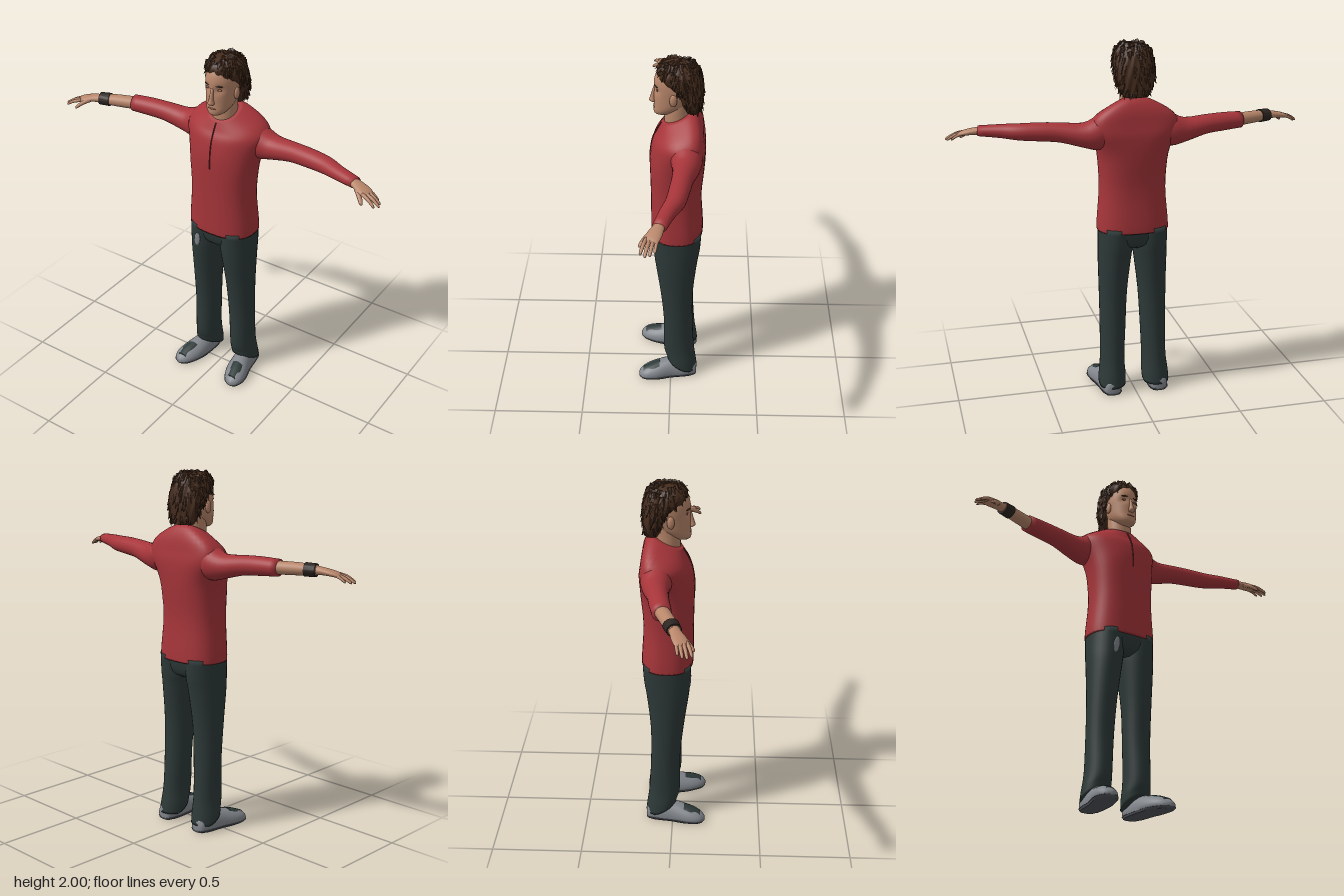
import * as THREE from 'three';
import { mergeGeometries, toCreasedNormals } from 'three/addons/utils/BufferGeometryUtils.js';

const mat = (name, color) => {
  const m = new THREE.MeshStandardMaterial({ color });
  m.name = name;
  return m;
};

// Catmull-Rom resampling of cross-sections [x, y, z, a, b]
function resample(s, steps) {
  const out = [];
  for (let i = 0; i < s.length - 1; i++) {
    const p = [s[Math.max(i - 1, 0)], s[i], s[i + 1], s[Math.min(i + 2, s.length - 1)]];
    for (let k = 0; k < steps; k++) {
      const t = k / steps;
      out.push(s[i].map((_, c) => {
        const [p0, p1, p2, p3] = p.map((q) => q[c]);
        return p1 + 0.5 * t * (p2 - p0 + t * (2 * p0 - 5 * p1 + 4 * p2 - p3 + t * (3 * (p1 - p2) + p3 - p0)));
      }));
    }
  }
  out.push(s[s.length - 1]);
  return out;
}

// Closed skin over oval sections stacked along an axis; warp moves each vertex
function loft(sections, axis, { sides = 28, steps = 3, power = 2, warp, crease } = {}) {
  const s = resample(sections, steps), pos = [], idx = [];
  const bend = (v) => Math.sign(v) * Math.abs(v) ** (2 / power);
  const put = (x, y, z) => {
    const v = new THREE.Vector3(x, y, z);
    if (warp) warp(v);
    pos.push(v.x, v.y, v.z);
  };
  s.forEach(([x, y, z, a, b], i) => {
    const p = s[Math.max(i - 1, 0)], n = s[Math.min(i + 1, s.length - 1)];
    const slope = (n[2] - p[2]) / (n[0] - p[0] || 1), len = Math.hypot(1, slope);
    for (let j = 0; j < sides; j++) {
      const t = (j / sides) * Math.PI * 2, u = a * bend(Math.cos(t)), w = b * bend(Math.sin(t));
      if (axis === 'y') put(x + u, y, z + w);
      else if (axis === 'z') put(x + u, y + w, z);
      else put(x - (w * slope) / len, y + u, z + w / len);
    }
  });
  const last = s.length - 1, c0 = s.length * sides;
  put(...s[0].slice(0, 3));
  put(...s[last].slice(0, 3));
  for (let j = 0; j < sides; j++) {
    const k = (j + 1) % sides;
    for (let i = 0; i < last; i++) {
      const a = i * sides + j, b = i * sides + k;
      idx.push(a, a + sides, b, b, a + sides, b + sides);
    }
    idx.push(c0, j, k, c0 + 1, last * sides + k, last * sides + j);
  }
  // Turn the skin outward if its volume comes out negative
  const at = (i) => new THREE.Vector3().fromArray(pos, i * 3);
  let vol = 0;
  for (let i = 0; i < idx.length; i += 3) vol += at(idx[i]).dot(at(idx[i + 1]).cross(at(idx[i + 2])));
  if (vol < 0) idx.reverse();
  const g = new THREE.BufferGeometry();
  g.setAttribute('position', new THREE.Float32BufferAttribute(pos, 3));
  g.setIndex(idx);
  g.computeVertexNormals();
  return crease ? toCreasedNormals(g, crease) : g;
}

const flip = (sections, side) => sections.map(([x, ...r]) => [x * side, ...r]);
const gauss = (d, w) => Math.exp(-(d * d) / (w * w));

export function createModel() {
  const root = new THREE.Group();
  const M = {
    shirt: mat('shirt red', 0xa6353a), seam: mat('seam dark red', 0x6e2226),
    trousers: mat('trouser charcoal', 0x2d3938), grey: mat('shoe grey', 0x82868c),
    sole: mat('sole grey', 0x50545b), skin: mat('skin', 0xb8866a),
    lip: mat('lip', 0x96634f), hair: mat('hair brown', 0x452c1d), band: mat('wristband', 0x2c2521),
  };
  const add = (name, geometry, material, parent = root) => {
    const m = new THREE.Mesh(geometry, material);
    m.name = name;
    parent.add(m);
    return m;
  };
  const blob = (name, material, p, r) => {
    const m = add(name, new THREE.SphereGeometry(1, 16, 10), material);
    m.position.set(...p);
    m.scale.set(...r);
    return m;
  };

  // Shirt body with shoulders swept back and a collar tilted forward
  add('shirtBody', loft([
    [0, 0.968, -0.033, 0.198, 0.143], [0, 1.02, -0.032, 0.196, 0.143], [0, 1.2, -0.027, 0.182, 0.138],
    [0, 1.36, -0.032, 0.19, 0.146], [0, 1.45, -0.035, 0.207, 0.148], [0, 1.52, -0.04, 0.232, 0.142],
    [0, 1.57, -0.043, 0.238, 0.13], [0, 1.61, -0.045, 0.205, 0.118], [0, 1.65, -0.04, 0.132, 0.1],
    [0, 1.678, -0.032, 0.078, 0.079]], 'y', {
    sides: 40, power: 2.45,
    warp: (v) => {
      v.z -= THREE.MathUtils.smoothstep(v.y, 1.35, 1.52) * 0.7 * v.x * v.x;
      v.y -= THREE.MathUtils.smoothstep(v.y, 1.54, 1.678) * (v.z + 0.03) * 0.45;
    },
  }), M.shirt);
  const placket = new THREE.CatmullRomCurve3([[1.385, 0.114], [1.46, 0.112], [1.54, 0.098], [1.59, 0.077], [1.635, 0.052]]
    .map(([y, z]) => new THREE.Vector3(0, y, z)));
  add('placketSeam', new THREE.TubeGeometry(placket, 16, 0.004, 6), M.seam);

  // Trousers: seat and two legs with the hems lifted over the shoes
  add('trouserSeat', loft([[0, 0.865, -0.03, 0.08, 0.075], [0, 0.9, -0.033, 0.165, 0.118],
    [0, 0.99, -0.033, 0.188, 0.134]], 'y', { power: 2.4 }), M.trousers);
  const leg = [[0.128, 0.04, -0.068, 0.077, 0.087], [0.125, 0.1, -0.06, 0.076, 0.088], [0.122, 0.2, -0.047, 0.069, 0.088],
    [0.117, 0.4, -0.042, 0.073, 0.083], [0.112, 0.6, -0.033, 0.079, 0.093], [0.102, 0.8, -0.03, 0.092, 0.118],
    [0.097, 0.88, -0.033, 0.097, 0.128], [0.096, 0.99, -0.034, 0.097, 0.134]];
  const hem = (v) => { v.y += gauss(v.y - 0.04, 0.08) * Math.max(0, v.z + 0.1) * 0.5; };
  const shoe = [[0.135, 0.03, -0.152, 0.025, 0.03], [0.135, 0.03, -0.138, 0.045, 0.055], [0.138, 0.03, -0.08, 0.056, 0.075],
    [0.145, 0.03, 0, 0.061, 0.075], [0.162, 0.028, 0.08, 0.067, 0.058], [0.174, 0.025, 0.135, 0.058, 0.044],
    [0.18, 0.02, 0.17, 0.038, 0.028], [0.181, 0.018, 0.186, 0.012, 0.012]];
  const toePatch = [[0.16, 0.03, 0.065, 0.054, 0.065], [0.17, 0.028, 0.11, 0.055, 0.053], [0.178, 0.024, 0.16, 0.037, 0.036]];

  // Arms: sections from shoulder to wrist, shared by both sides
  const arm = [[0.12, 1.535, -0.075, 0.075, 0.075], [0.2, 1.522, -0.083, 0.09, 0.083], [0.28, 1.515, -0.08, 0.066, 0.07],
    [0.4, 1.533, -0.065, 0.053, 0.056], [0.5, 1.539, -0.052, 0.05, 0.053], [0.61, 1.541, -0.034, 0.045, 0.05]];
  const lowerSleeve = [[0.7, 1.543, 0, 0.037, 0.042], [0.82, 1.543, 0.037, 0.028, 0.036]];
  const forearm = [[0.57, 1.541, -0.044, 0.035, 0.038], [0.7, 1.543, 0, 0.033, 0.037], [0.8, 1.543, 0.034, 0.026, 0.032]];
  const palm = [[0.79, 1.543, 0.032, 0.024, 0.029], [0.83, 1.541, 0.043, 0.02, 0.031], [0.87, 1.535, 0.058, 0.017, 0.038],
    [0.905, 1.527, 0.071, 0.013, 0.037], [0.92, 1.522, 0.076, 0.007, 0.03]];
  const digits = [ // base, tip, radius
    [[0.895, 1.529, 0.042], [0.962, 1.498, 0.054], 0.0085], [[0.9, 1.529, 0.06], [0.983, 1.494, 0.077], 0.0095],
    [[0.9, 1.529, 0.079], [0.99, 1.493, 0.1], 0.0095], [[0.892, 1.529, 0.096], [0.972, 1.495, 0.122], 0.0095],
    [[0.842, 1.536, 0.068], [0.908, 1.493, 0.13], 0.0125]];

  for (const side of [1, -1]) {
    const word = side > 0 ? 'left' : 'right';
    add(word + 'TrouserLeg', loft(flip(leg, side), 'y', { warp: hem }), M.trousers);
    const foot = new THREE.Group();
    foot.name = word + 'Shoe';
    root.add(foot);
    const part = (name, s, m, warp) => add(name, loft(flip(s, side), 'z', { warp, crease: 0.8 }), m, foot);
    part('shoeUpper', shoe, M.grey, (v) => { v.y = Math.max(v.y, 0.01); });
    part('shoeSole', shoe.map(([x, y, z, a, b]) => [x, y, z, a + 0.003, b]), M.sole, (v) => { v.y = THREE.MathUtils.clamp(v.y, 0, 0.012); });
    part('toePatch', toePatch, M.trousers, (v) => { v.y = Math.max(v.y, 0.04); });

    add(word + 'Sleeve', loft(flip(side > 0 ? [...arm, ...lowerSleeve] : arm, side), 'x'), M.shirt);
    if (side < 0) add('rightForearm', loft(flip(forearm, side), 'x'), M.skin);
    const hand = new THREE.Group();
    hand.name = word + 'Hand';
    root.add(hand);
    add('palm', loft(flip(palm, side), 'x', { sides: 20 }), M.skin, hand);
    digits.forEach(([b, t, r], i) => {
      const s = [[0, 0, 1], [0.5, 0.006, 1], [0.9, 0.001, 0.8], [1, 0, 0.3]].map(([k, lift, f]) =>
        [...b.map((v, c) => v + (t[c] - v) * k + (c === 1 ? lift : 0)), r * f, r * f]);
      add(i < 4 ? 'finger' : 'thumb', loft(flip(s, side), 'x', { sides: 10 }), M.skin, hand);
    });

    // Paired face details
    blob(word + 'Ear', M.skin, [side * 0.088, 1.805, -0.012], [0.012, 0.034, 0.02]);
    blob(word + 'Eye', M.lip, [side * 0.035, 1.84, 0.071], [0.016, 0.006, 0.005]);
    blob(word + 'Eyebrow', M.hair, [side * 0.036, 1.862, 0.077], [0.021, 0.004, 0.005]).rotation.y = side * 0.35;
  }
  add('wristband', loft(flip([[0.742, 1.543, 0.015, 0.036, 0.041], [0.798, 1.543, 0.033, 0.034, 0.038]], -1), 'x',
    { steps: 1, crease: 0.8 }), M.band);
  const patch = blob('trouserPatch', M.grey, [-0.1, 0.888, 0.0945], [0.018, 0.046, 0.005]);
  patch.rotation.set(0.07, 0, -0.15);

  // Neck, head with eye sockets, nose and mouth
  add('neck', loft([[0, 1.6, -0.035, 0.072, 0.072], [0, 1.7, -0.032, 0.068, 0.068], [0, 1.79, -0.045, 0.066, 0.066]], 'y'), M.skin);
  add('head', loft([[0, 1.69, 0.05, 0.025, 0.028], [0, 1.7, 0.043, 0.043, 0.047], [0, 1.72, 0.025, 0.06, 0.068],
    [0, 1.75, 0, 0.074, 0.09], [0, 1.8, -0.02, 0.083, 0.11], [0, 1.85, -0.025, 0.088, 0.116],
    [0, 1.9, -0.03, 0.086, 0.115], [0, 1.94, -0.03, 0.07, 0.095], [0, 1.97, -0.03, 0.04, 0.05]], 'y', {
    sides: 48, steps: 4, warp: (v) => {
      if (v.z > 0) v.z -= 0.013 * gauss(v.y - 1.838, 0.02) * gauss(Math.abs(v.x) - 0.035, 0.025);
    },
  }), M.skin);
  add('nose', loft([[0, 1.756, 0.09, 0.012, 0.009], [0, 1.766, 0.096, 0.018, 0.019], [0, 1.79, 0.093, 0.012, 0.015],
    [0, 1.845, 0.084, 0.008, 0.008]], 'y', { sides: 14 }), M.skin);
  blob('mouth', M.lip, [0, 1.734, 0.088], [0.025, 0.005, 0.006]);

  // Hair: ridged cap whose front edge climbs to the forehead, covered in small locks
  const cap = [[0, 1.715, -0.115, 0.065, 0.04], [0, 1.75, -0.107, 0.086, 0.054], [0, 1.8, -0.098, 0.102, 0.067],
    [0, 1.85, -0.08, 0.108, 0.084], [0, 1.9, -0.048, 0.108, 0.108], [0, 1.94, -0.035, 0.097, 0.108],
    [0, 1.97, -0.034, 0.07, 0.085], [0, 1.987, -0.032, 0.03, 0.04]];
  const ridge = (v) => {
    const k = 1 + 0.025 * Math.sin(Math.atan2(v.z + 0.06, v.x) * 18 + v.y * 40);
    v.x *= k;
    v.z = (v.z + 0.06) * k - 0.06;
  };
  const locks = [loft(cap, 'y', { sides: 72, power: 2.2, warp: ridge }).toNonIndexed()];
  let seed = 7;
  const rand = () => (seed = (seed * 16807) % 2147483647) / 2147483647;
  const rings = resample(cap, 8), up = new THREE.Vector3(0, 1, 0);
  for (let i = 0; i < 260; i++) {
    const [, y, z, a, b] = rings[Math.floor(4 + rand() * (rings.length - 5))], t = rand() * Math.PI * 2;
    const out = new THREE.Vector3(Math.cos(t), 0, Math.sin(t));
    const p = new THREE.Vector3(a * out.x, y, z + b * out.z);
    if (p.z > -0.04 + (y - 1.8) * 0.8) continue;
    const dir = out.multiplyScalar(y > 1.94 ? 0.9 : 0.25 + 0.2 * rand()).add(new THREE.Vector3(rand() * 0.3 - 0.15, y > 1.97 ? 0.1 : -0.9, 0)).normalize();
    const g = new THREE.ConeGeometry(0.013, 0.045 + 0.015 * rand(), 5).toNonIndexed();
    g.applyQuaternion(new THREE.Quaternion().setFromUnitVectors(up, dir));
    g.translate(p.x, Math.min(p.y, 1.983), p.z);
    g.deleteAttribute('uv');
    locks.push(g);
  }
  add('hair', toCreasedNormals(mergeGeometries(locks), 0.5), M.hair);
  return root;
}
